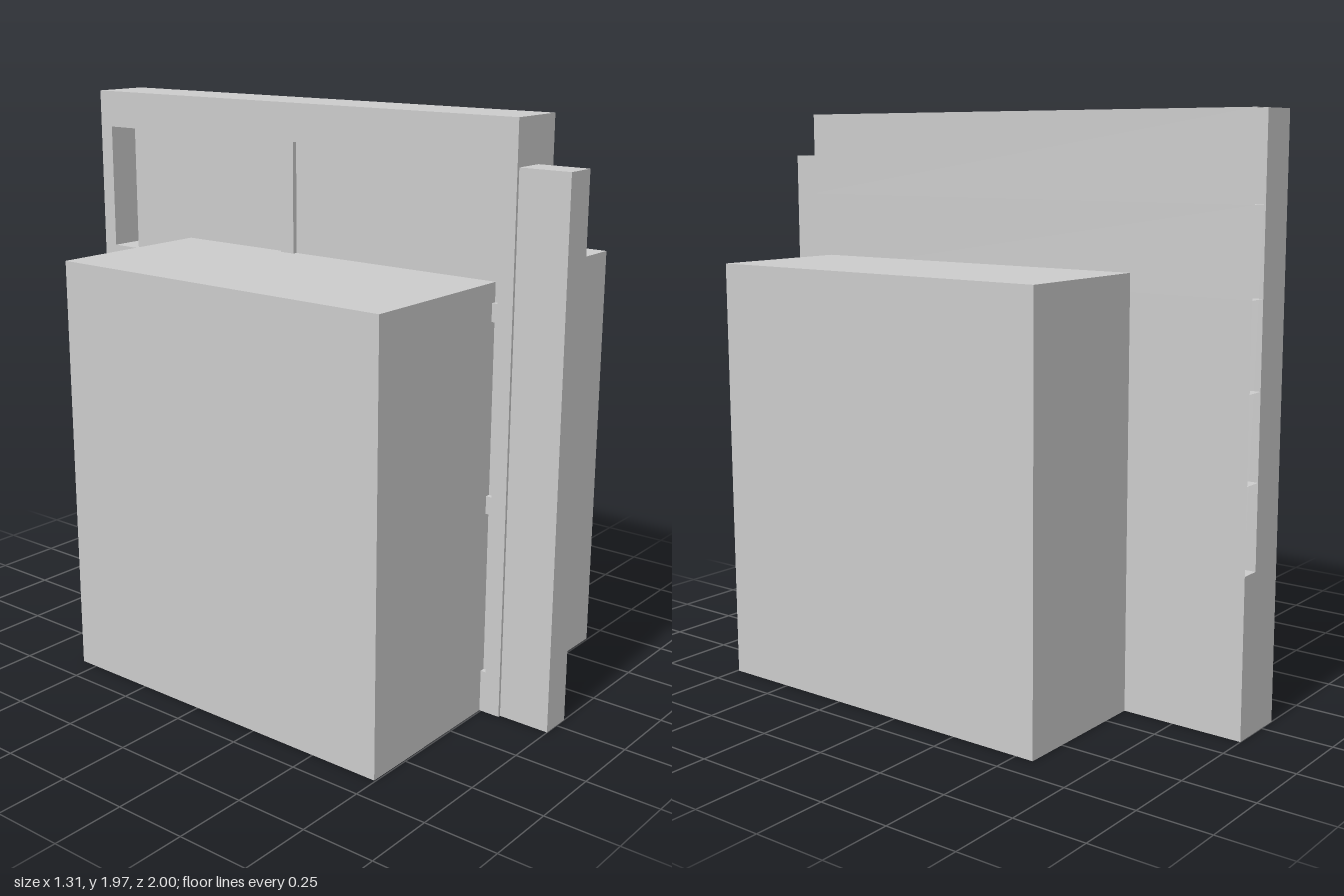
import * as THREE from 'three';

const solid = new THREE.MeshStandardMaterial({ color: 0xcccccc, flatShading: true });
const thin = new THREE.MeshStandardMaterial({ color: 0xcccccc, flatShading: true, side: THREE.DoubleSide });

// Box given by its lower and upper limits on each axis
function addBox(parent, name, [x0, x1], [y0, y1], [z0, z1], openBack = false) {
  const geo = new THREE.BoxGeometry(x1 - x0, y1 - y0, z1 - z0);
  // the last six indices are the back (-z) face
  if (openBack) geo.setIndex(Array.from(geo.index.array).slice(0, 30));
  const mesh = new THREE.Mesh(geo, openBack ? thin : solid);
  mesh.position.set((x0 + x1) / 2, (y0 + y1) / 2, (z0 + z1) / 2);
  mesh.name = name;
  parent.add(mesh);
  return mesh;
}

export function createModel() {
  const model = new THREE.Group();
  model.name = 'framedWallBlock';

  const back = -1, front = 0.82, top = 1.97;
  const outer = -0.07, core = 0.07, cladding = 0.14;
  const frameX = [outer, core];

  // Large block through which the wall passes
  addBox(model, 'mainBlock', [-0.655, 0.655], [0, 1.46], [-0.565, 0.745]);

  // Post standing against the front end of the wall
  addBox(model, 'frontPost', [-0.06, 0.05], [0, 1.82], [front, 1]);

  // Open frame on the right half of the wall
  const frame = new THREE.Group();
  frame.name = 'wallFrame';
  model.add(frame);
  const studWidth = 0.055;
  const studStarts = [back, (back + front - studWidth) / 2, front - studWidth];
  for (const z of studStarts) addBox(frame, 'stud', frameX, [0, top], [z, z + studWidth]);

  const rails = [[0, 0.145], [0.7, 0.76], [1.335, 1.395], [1.84, top]];
  for (let bay = 0; bay < 2; bay++) {
    const span = [studStarts[bay] + studWidth, studStarts[bay + 1]];
    for (const y of rails) addBox(frame, 'rail', frameX, y, span);
    // Infill panels sit slightly behind the frame; the rear bay keeps a gap
    for (let i = 0; i < rails.length - 1; i++) {
      addBox(frame, 'infillPanel', [outer + 0.017, core], [rails[i][1], rails[i + 1][0]],
        [span[0] + (bay === 0 ? 0.105 : 0), span[1]]);
    }
  }

  // Cladding on the left half: solid base with hollow planks open at the back
  const clad = new THREE.Group();
  clad.name = 'cladding';
  model.add(clad);
  const baseTop = 0.54, planks = 5, step = (top - baseTop) / planks;
  addBox(clad, 'claddingBase', [core, cladding], [0, baseTop], [back, front]);
  for (let i = 0; i < planks; i++) {
    const y = baseTop + i * step;
    addBox(clad, 'hollowPlank', [core, cladding], [y, y + step], [back, front], true);
  }

  return model;
}
